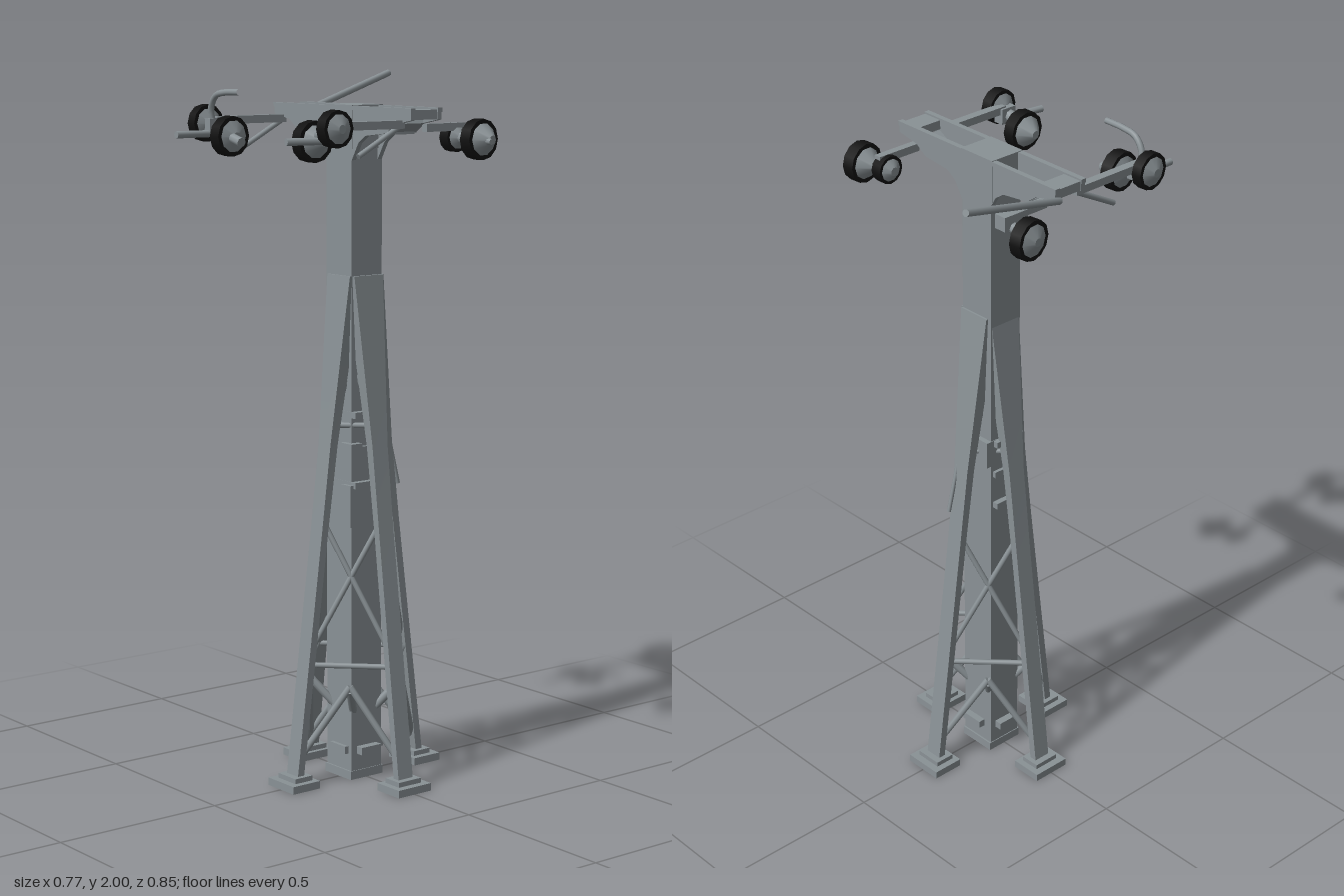
import * as THREE from 'three';

const steel = new THREE.MeshStandardMaterial({ color: 0x8a9296 });
steel.name = 'steelGrey';
const rubber = new THREE.MeshStandardMaterial({ color: 0x111111 });
rubber.name = 'rubberBlack';

const V = (x, y, z) => new THREE.Vector3(x, y, z);
// Distance of a leg from the tower axis at height y
const legR = (y) => 0.222 - 0.127 * y;

function add(parent, name, geo, x = 0, y = 0, z = 0, mat = steel) {
  const m = new THREE.Mesh(geo, mat);
  m.name = name;
  m.position.set(x, y, z);
  parent.add(m);
  return m;
}
const box = (parent, name, w, h, d, x, y, z) =>
  add(parent, name, new THREE.BoxGeometry(w, h, d), x, y, z);

// Round bar between two points
function bar(parent, name, a, b, r = 0.008, r2 = r) {
  const d = b.clone().sub(a);
  const m = add(parent, name, new THREE.CylinderGeometry(r2, r, d.length(), 8));
  m.position.copy(a).add(b).multiplyScalar(0.5);
  m.quaternion.setFromUnitVectors(V(0, 1, 0), d.normalize());
  return m;
}

// Drum with a black tread and grey conical caps, axis along x
function wheel(parent, x, y, z, r = 0.055, w = 0.034, tilt = 0, cone = 0.015) {
  const g = new THREE.Group();
  g.name = 'sheaveWheel';
  const tread = add(g, 'tread', new THREE.CylinderGeometry(r, r, w, 12), 0, 0, 0, rubber);
  tread.rotation.z = Math.PI / 2;
  for (const s of [-1, 1]) {
    const cap = add(g, 'wheelCap', new THREE.CylinderGeometry(0.012, r * 0.8, cone, 10),
      s * (w / 2 + cone / 2), 0, 0);
    cap.rotation.z = -s * Math.PI / 2;
  }
  g.position.set(x, y, z);
  g.rotation.y = tilt;
  parent.add(g);
}

export function createModel() {
  const root = new THREE.Group();
  root.name = 'liftTower';

  // Central square column, with a tapering lower trunk
  box(root, 'column', 0.113, 1.9, 0.108, -0.006, 0.955, 0);
  box(root, 'columnBase', 0.118, 0.025, 0.118, -0.006, 0.0125, 0);
  box(root, 'columnCollar', 0.16, 0.022, 0.07, -0.005, 0.085, 0);
  box(root, 'columnCollar', 0.07, 0.022, 0.14, 0, 0.085, -0.005);

  // Four legs in a diamond, each with its foot and the bracing to the next leg
  for (let i = 0; i < 4; i++) {
    const side = new THREE.Group();
    side.name = 'towerSide';
    side.rotation.y = i * Math.PI / 2;
    root.add(side);

    const geo = new THREE.BoxGeometry(1, 1, 1, 1, 6, 1);
    const p = geo.attributes.position;
    for (let k = 0; k < p.count; k++) {
      const t = p.getY(k) + 0.5;
      const y = 0.02 + t * 1.43;
      const width = 0.052 + 0.05 * Math.max(0, (t - 0.65) / 0.35);
      const thick = 0.022 + 0.022 * Math.max(0, (t - 0.6) / 0.4);
      p.setXYZ(k, p.getX(k) * width, y, legR(y) + p.getZ(k) * thick);
    }
    geo.computeVertexNormals();
    add(side, 'leg', geo);

    box(side, 'foot', 0.118, 0.022, 0.095, 0, 0.011, 0.222);
    box(side, 'footPlate', 0.08, 0.016, 0.06, 0, 0.028, 0.218);

    // Points on this leg (A), the next leg (B) and midway between
    const A = (y) => V(0, y, legR(y));
    const B = (y) => V(legR(y), y, 0);
    const M = (y) => A(y).add(B(y)).multiplyScalar(0.5);
    bar(side, 'lowerBrace', A(0.07), M(0.29), 0.01);
    bar(side, 'lowerBrace', B(0.07), M(0.29), 0.01);
    bar(side, 'gussetBrace', M(0.28), V(0.04, 0.2, 0.04), 0.012);
    bar(side, 'horizontalTie', A(0.35), B(0.35), 0.008);
    bar(side, 'crossBrace', A(0.37), B(0.77), 0.008);
    bar(side, 'crossBrace', B(0.37), A(0.77), 0.008);
    bar(side, 'upperTie', A(1.03), B(1.03), 0.008);
    bar(side, 'upperBrace', A(1.04), M(1.2), 0.008);
    bar(side, 'upperBrace', B(1.04), M(1.2), 0.008);
  }

  // Equipment boxes and brackets around the column
  for (const [y, w] of [[0.86, 0.15], [0.96, 0.135], [1.06, 0.15]]) {
    box(root, 'columnBracket', w, 0.018, 0.1, -0.005, y, 0.005);
  }
  box(root, 'equipmentBox', 0.05, 0.1, 0.04, 0.045, 0.93, 0.05);
  box(root, 'equipmentBox', 0.04, 0.12, 0.035, 0.04, 0.8, 0.048);
  box(root, 'equipmentBox', 0.05, 0.08, 0.04, -0.04, 1.03, -0.05);
  bar(root, 'cableConduit', V(-0.03, 0.74, 0.085), V(-0.03, 1.0, 0.062), 0.008);
  bar(root, 'cableConduit', V(0.02, 0.84, -0.14), V(0.02, 1.0, -0.1), 0.006);

  // Crossarm: two side plates joined by floors, end plates and a centre box
  const arm = new THREE.Shape();
  const half = [[0.305, 1.92], [0.305, 1.888], [0.235, 1.875], [0.2, 1.85],
    [0.11, 1.84], [0.08, 1.82], [0.05, 1.77]];
  arm.moveTo(-0.305, 1.92);
  for (const [x, y] of half) arm.lineTo(x, y);
  for (const [x, y] of half.slice(1).reverse()) arm.lineTo(-x, y);
  const armGeo = new THREE.ExtrudeGeometry(arm, { depth: 0.014, bevelEnabled: false });
  for (const z of [-0.053, 0.039]) add(root, 'crossarmPlate', armGeo, 0, 0, z);
  for (const z of [-0.047, 0.047]) box(root, 'crossarmRail', 0.615, 0.012, 0.016, 0, 1.914, z);
  box(root, 'crossarmHub', 0.122, 0.12, 0.11, -0.007, 1.862, 0);
  for (const s of [-1, 1]) {
    box(root, 'crossarmEnd', 0.062, 0.026, 0.084, s * 0.273, 1.902, 0);
    box(root, 'crossarmFloor', 0.13, 0.012, 0.084, s * 0.14, 1.852, 0);
    const ramp = box(root, 'crossarmRamp', 0.055, 0.01, 0.084, s * 0.222, 1.868, 0);
    ramp.rotation.z = s * 0.5;
  }

  // Front wheel arms with axles and pointed rods
  for (const s of [-1, 1]) {
    const x = s < 0 ? -0.272 : 0.257;
    box(root, 'frontArm', 0.026, 0.022, 0.24, x, 1.876, 0.165);
    box(root, 'axleBlock', 0.05, 0.045, 0.05, x + 0.005 * s, 1.86, 0.29);
    bar(root, 'frontRod', V(x + 0.01, 1.84, 0.28), V(x + 0.014 - (s > 0 ? 0.026 : 0), 1.84, 0.425), 0.01);
    bar(root, 'armStrut', V(x, 1.795, 0.195), V(x, 1.872, 0.05), 0.008);
  }
  bar(root, 'frontAxle', V(-0.3, 1.865, 0.295), V(-0.125, 1.82, 0.3), 0.014);
  bar(root, 'frontAxle', V(0.16, 1.835, 0.29), V(0.3, 1.875, 0.3), 0.018);
  wheel(root, -0.302, 1.868, 0.295, 0.052, 0.03, 0.05);
  wheel(root, -0.195, 1.835, 0.29, 0.056, 0.036, 0.08);
  wheel(root, 0.18, 1.835, 0.29, 0.056, 0.036, 0, 0.035);
  wheel(root, 0.287, 1.872, 0.297, 0.05, 0.034, 0.04);

  // Rear wheel arms
  box(root, 'rearArm', 0.022, 0.022, 0.14, -0.255, 1.864, -0.115);
  box(root, 'rearArmTip', 0.038, 0.04, 0.08, -0.255, 1.855, -0.16);
  box(root, 'rearArm', 0.022, 0.022, 0.14, 0.244, 1.864, -0.115);
  bar(root, 'rearAxle', V(-0.35, 1.83, -0.175), V(-0.245, 1.84, -0.165), 0.016);
  bar(root, 'rearAxle', V(0.23, 1.835, -0.16), V(0.34, 1.83, -0.17), 0.018);
  wheel(root, -0.338, 1.832, -0.177, 0.056, 0.036, 0.1);
  wheel(root, 0.235, 1.835, -0.16, 0.04, 0.034);
  wheel(root, 0.32, 1.832, -0.175, 0.056, 0.036, 0.08, 0.035);
  bar(root, 'wheelSpindle', V(0.34, 1.83, -0.17), V(0.38, 1.827, -0.168), 0.014, 0.008);

  // Long raised boom at the rear and bent handrail at the front
  bar(root, 'boom', V(-0.308, 1.885, -0.04), V(-0.375, 1.995, -0.425), 0.01);
  const rail = new THREE.CatmullRomCurve3([V(-0.275, 1.87, 0.29), V(-0.272, 1.91, 0.297),
    V(-0.245, 1.945, 0.3), V(-0.2, 1.955, 0.3), V(-0.135, 1.957, 0.3)]);
  add(root, 'handrail', new THREE.TubeGeometry(rail, 16, 0.009, 8));

  return root;
}
